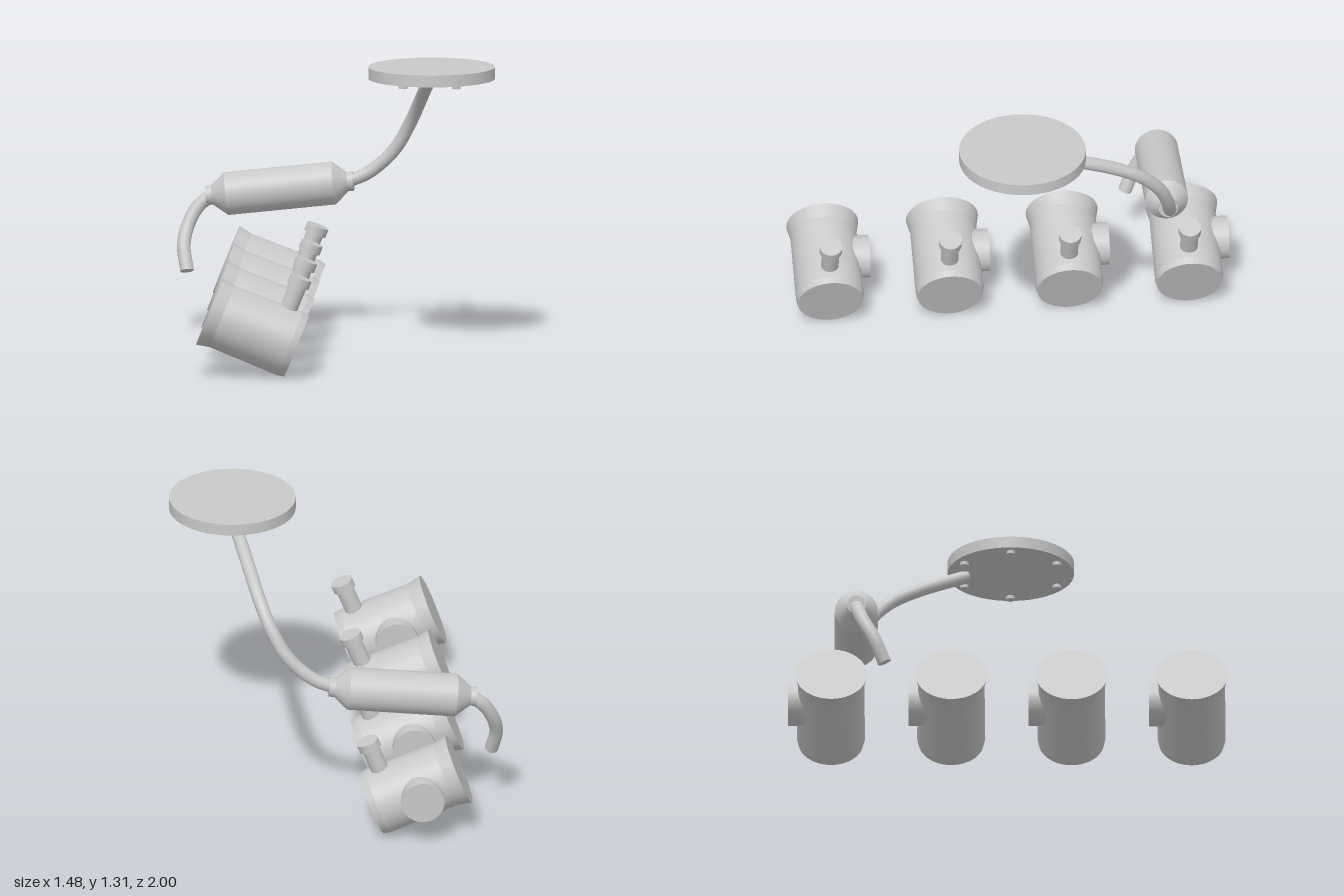
import * as THREE from 'three';
import { toCreasedNormals } from 'three/addons/utils/BufferGeometryUtils.js';

const metal = new THREE.MeshStandardMaterial({ color: 0xc8c8c8 });
metal.name = 'light grey metal';

function addMesh(parent, name, geometry) {
  const mesh = new THREE.Mesh(geometry, metal);
  mesh.name = name;
  parent.add(mesh);
  return mesh;
}

// Solid of revolution about y; profile is [radius, y] from bottom to top
function turned(parent, name, profile, segments = 48) {
  const points = profile.map(([r, y]) => new THREE.Vector2(r, y));
  return addMesh(parent, name, toCreasedNormals(new THREE.LatheGeometry(points, segments), 0.2));
}

function disc(parent, name, radius, y0, y1, segments = 40) {
  const mesh = addMesh(parent, name, new THREE.CylinderGeometry(radius, radius, y1 - y0, segments));
  mesh.position.y = (y0 + y1) / 2;
  return mesh;
}

// Bent round pipe with flat ends
function bentPipe(parent, name, coords, radius) {
  const group = new THREE.Group();
  group.name = name;
  parent.add(group);
  const curve = new THREE.CatmullRomCurve3(coords.map((p) => new THREE.Vector3(...p)));
  addMesh(group, name + 'Wall', new THREE.TubeGeometry(curve, 64, radius, 24));
  for (const t of [0, 1]) {
    const cap = addMesh(group, name + 'End', new THREE.CircleGeometry(radius, 24));
    const outward = curve.getTangentAt(t).multiplyScalar(t ? 1 : -1);
    cap.position.copy(curve.getPointAt(t));
    cap.quaternion.setFromUnitVectors(new THREE.Vector3(0, 0, 1), outward);
  }
}

// Tilted canister: local y runs up its axis, local x towards the filler neck
function canister(z) {
  const can = new THREE.Group();
  can.name = 'canister';
  can.position.set(-0.129, 0.138, z);
  can.rotation.z = THREE.MathUtils.degToRad(68.2);
  turned(can, 'canisterBody', [[0, 0], [0.148, 0], [0.155, 0.032], [0.151, 0.367], [0, 0.367]]);
  turned(can, 'canisterRim', [[0, 0.365], [0.151, 0.365], [0.164, 0.427], [0, 0.427]]);

  const neck = new THREE.Group();
  neck.name = 'neck';
  neck.position.y = 0.097;
  neck.rotation.z = -Math.PI / 2;
  disc(neck, 'neckPipe', 0.04, 0.1, 0.27, 32);
  disc(neck, 'neckCap', 0.051, 0.261, 0.302, 32);

  const port = new THREE.Group();
  port.name = 'backPort';
  port.position.y = 0.237;
  port.rotation.x = -Math.PI / 2;
  disc(port, 'portPlate', 0.097, 0.1, 0.195);

  can.add(neck, port);
  return can;
}

export function createModel() {
  const model = new THREE.Group();
  model.name = 'pipeAssembly';

  // Row of four canisters
  for (let i = 0; i < 4; i++) model.add(canister(0.835 - i * 0.5465));

  // Round plate with six bolts beneath
  const plate = new THREE.Group();
  plate.name = 'roundPlate';
  plate.position.set(0.448, 0, 0.014);
  disc(plate, 'plateDisc', 0.288, 1.253, 1.307, 72);
  for (let i = 0; i < 6; i++) {
    const a = (i * Math.PI) / 3;
    const bolt = disc(plate, 'plateBolt', 0.02, 1.237, 1.26, 20);
    bolt.position.x = 0.243 * Math.cos(a);
    bolt.position.z = 0.243 * Math.sin(a);
  }
  model.add(plate);

  // Silencer drum with tapered ends and collars
  const drum = new THREE.Group();
  drum.name = 'silencer';
  drum.position.set(-0.2745, 0.641, -0.69);
  drum.rotation.z = -Math.PI / 2 + Math.atan2(0.052, 0.489);
  turned(drum, 'silencerDrum', [[0, -0.312], [0.044, -0.312], [0.098, -0.246],
    [0.098, 0.246], [0.044, 0.308], [0, 0.308]]);
  for (const y of [-0.325, 0.32]) disc(drum, 'silencerCollar', 0.044, y - 0.015, y + 0.015, 32);
  model.add(drum);

  // Pipe from the plate to the silencer, and the tail pipe
  bentPipe(model, 'upperPipe', [[0.444, 1.24, -0.18], [0.4, 1.145, -0.41], [0.37, 1.07, -0.535],
    [0.325, 0.965, -0.625], [0.262, 0.847, -0.668], [0.195, 0.77, -0.682],
    [0.116, 0.71, -0.69], [0.03, 0.675, -0.69]], 0.03);
  bentPipe(model, 'tailPipe', [[-0.58, 0.61, -0.69], [-0.645, 0.56, -0.682], [-0.69, 0.48, -0.655],
    [-0.709, 0.39, -0.61], [-0.692, 0.278, -0.562]], 0.031);

  return model;
}
